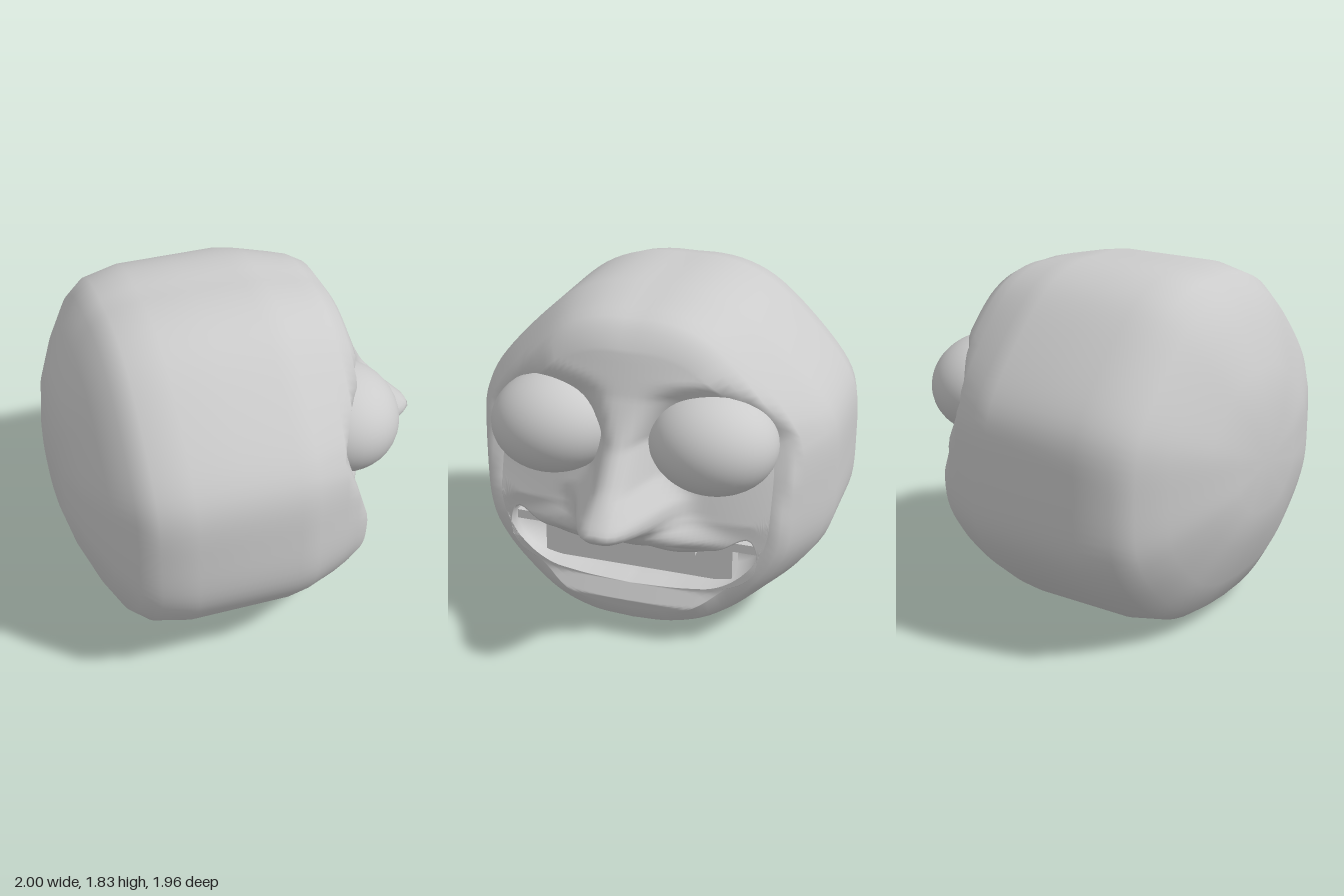
import * as THREE from 'three';

const HALF = 56; // samples along half of each ring
const material = new THREE.MeshStandardMaterial({ color: 0xcccccc, side: THREE.DoubleSide });

// Linear lookup in a short [input, output] table
function table(rows, v) {
  if (v <= rows[0][0]) return rows[0][1];
  for (let i = 1; i < rows.length; i++) {
    const [a, p] = rows[i - 1], [b, q] = rows[i];
    if (v <= b) return p + (q - p) * (v - a) / (b - a);
  }
  return rows[rows.length - 1][1];
}

// Closed ring of [z, y], mirrored from a half outline running bottom to top
function ring(half) {
  const curve = new THREE.CatmullRomCurve3(half.map(([z, y]) => new THREE.Vector3(0, y, z)), false, 'centripetal');
  const pts = curve.getSpacedPoints(HALF).map(p => [p.z, p.y]);
  const mirror = pts.slice(1, -1).reverse().map(([z, y]) => [-z, y]);
  return pts.concat(mirror);
}

// Height of the face toward +x: forehead, brow, cheeks and lips
const BASE = [[0, .4], [.17, .49], [.23, .52], [.32, .48], [.6, .5], [.75, .52], [.9, .5], [1.2, .46], [1.4, .52], [1.5, .56], [1.65, .5]];
const BEND = [[.5, .06], [1, .2], [1.4, .35]];
// Centre line of the nose and upper lip, and its half width
const RIDGE = [[.5, .48], [.58, .49], [.65, .65], [.74, .75], [.77, .84], [.8, .96], [.84, 1], [.87, .985], [1.03, .83], [1.18, .71], [1.42, .585], [1.6, .52], [1.65, .5]];
const WIDTH = [[.58, .5], [.66, .38], [.74, .26], [.79, .22], [.87, .21], [1, .14], [1.2, .12], [1.42, .2], [1.6, .45]];

function faceX(z, y) {
  const base = table(BASE, y);
  const x = base - table(BEND, y) * z * z;
  if (y < .5) return x;
  const w = table(WIDTH, y);
  return x + (table(RIDGE, y) - base) * Math.exp(-Math.pow(Math.abs(z) / w, 3));
}

// Skin a list of equal-length closed rings
function loft(rings) {
  const n = rings[0].length, pos = [], index = [];
  rings.forEach(r => r.forEach(p => pos.push(...p)));
  for (let k = 0; k < rings.length - 1; k++) {
    for (let i = 0; i < n; i++) {
      const a = k * n + i, b = k * n + (i + 1) % n;
      index.push(a, a + n, b, b, a + n, b + n);
    }
  }
  const geometry = new THREE.BufferGeometry();
  geometry.setAttribute('position', new THREE.Float32BufferAttribute(pos, 3));
  geometry.setIndex(index);
  geometry.computeVertexNormals();
  return geometry;
}

function headGeometry() {
  const outline = ring([[0, 0], [.27, .02], [.5, .1], [.7, .25], [.87, .43], [.96, .6], [.98, .9],
    [.965, 1.15], [.91, 1.28], [.7, 1.53], [.47, 1.73], [.3, 1.805], [.15, 1.83], [0, 1.83]]);
  const mouth = ring([[0, .32], [.3, .335], [.55, .38], [.65, .46], [.675, .57], [.63, .67],
    [.47, .6], [.25, .55], [0, .58]]);
  const fit = ([z, y], hz, lo, hi) => [z / .98 * hz, lo + y / 1.83 * (hi - lo)];
  const rings = [];

  // Skull from back to front: x, half width, bottom, top
  const skull = [[-1, .001, .9, .902], [-1, .28, .64, 1.17], [-.95, .5, .46, 1.37], [-.86, .71, .25, 1.57],
    [-.77, .86, .1, 1.72], [-.68, .94, .035, 1.79], [-.5, .98, 0, 1.83], [-.25, .98, 0, 1.83],
    [.02, .98, 0, 1.83], [.13, .95, .005, 1.815], [.3, .87, .025, 1.78], [.38, .83, .05, 1.76], [.45, .79, .09, 1.72]];
  for (const [x, hz, lo, hi] of skull) {
    rings.push(outline.map(p => {
      const [z, y] = fit(p, hz, lo, hi);
      return [x > .2 ? Math.min(x, faceX(z, y) + .02) : x, y, z];
    }));
  }

  // Face from its rim inward to the lips
  const steps = 52;
  for (let k = 0; k <= steps; k++) {
    const t = k / steps;
    rings.push(outline.map((p, i) => {
      const [z0, y0] = fit(p, .73, .17, 1.64), [z1, y1] = mouth[i];
      const z = z0 + (z1 - z0) * t, y = y0 + (y1 - y0) * t;
      return [faceX(z, y), y, z];
    }));
  }

  // Mouth cavity: depth and scale
  for (const [depth, s] of [[.03, .99], [.1, 1], [.28, .97], [.28, .001]]) {
    rings.push(mouth.map(([z, y]) => [faceX(z, y) - depth, .48 + (y - .48) * s, z * s]));
  }
  return loft(rings);
}

export function createModel() {
  const group = new THREE.Group();
  const add = (name, geometry, x, y, z) => {
    const mesh = new THREE.Mesh(geometry, material);
    mesh.name = name;
    mesh.position.set(x, y, z);
    group.add(mesh);
    return mesh;
  };

  add('head', headGeometry(), 0, 0, 0);

  // Bulging eyes
  for (const side of [1, -1]) {
    const eye = add(side > 0 ? 'eyePositiveZ' : 'eyeNegativeZ', new THREE.SphereGeometry(1, 40, 28), .42, 1.175, side * .425);
    eye.scale.set(.3, .265, .33);
    eye.rotation.x = side * .06;
  }

  // Gum bar, lower row and two upper teeth
  add('upperGum', new THREE.BoxGeometry(.16, .05, 1.32), .33, .585, 0);
  add('lowerTeeth', new THREE.BoxGeometry(.12, .21, 1.04), .3, .455, 0);
  for (const side of [1, -1]) {
    add('upperTooth', new THREE.BoxGeometry(.06, .07, .17), .39, .54, side * .25);
  }
  return group;
}
